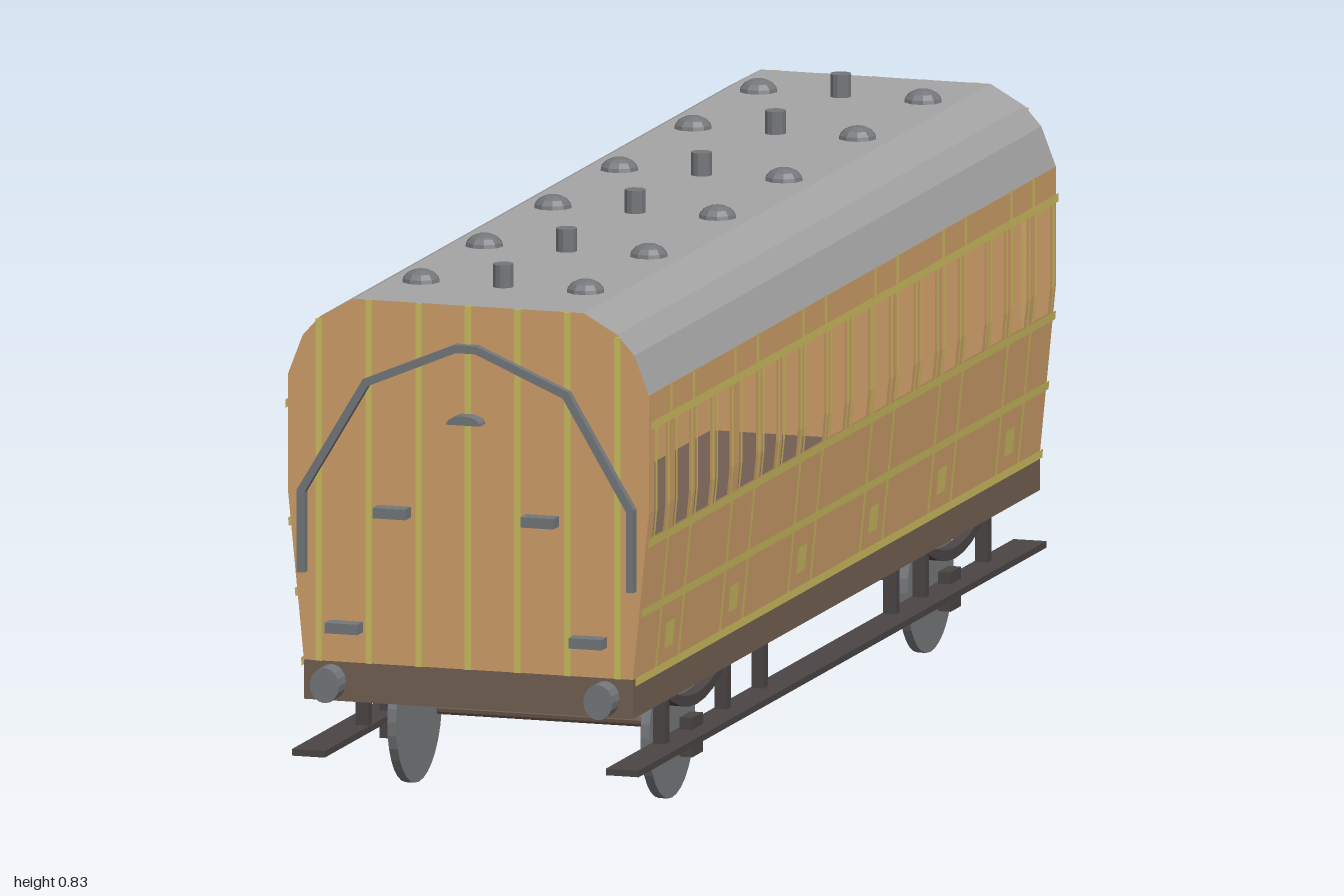
import * as THREE from 'three';
import { mergeGeometries } from 'three/addons/utils/BufferGeometryUtils.js';

const mat = (name, color, both = true) => {
  const m = new THREE.MeshStandardMaterial({ color, flatShading: true });
  m.name = name;
  if (both) m.side = THREE.DoubleSide;
  return m;
};

const L = 0.965; // half length of the body
const KINK = 0.5; // height where the side turns from sloped to upright
const ROOF = [[0.285, 0.68], [0.262, 0.74], [0.235, 0.77], [0.182, 0.8]];
// half width of the body side at height y
const sideX = (y) => 0.26 + 0.025 * THREE.MathUtils.clamp((y - 0.245) / (KINK - 0.245), 0, 1);

// sheet through [x, y] points, drawn out from z0 to z1
function loft(pts, z0, z1) {
  const v = [];
  for (let i = 0; i + 1 < pts.length; i++) {
    const [a, b] = [pts[i], pts[i + 1]];
    v.push(...a, z0, ...b, z0, ...b, z1, ...a, z0, ...b, z1, ...a, z1);
  }
  const g = new THREE.BufferGeometry();
  g.setAttribute('position', new THREE.Float32BufferAttribute(v, 3));
  g.computeVertexNormals();
  return g;
}

// piece of body side following its bend; s is +1 for left, -1 for right
function sidePiece(s, z0, z1, y0, y1, out = 0) {
  const ys = y0 < KINK && y1 > KINK ? [y0, KINK, y1] : [y0, y1];
  const pts = ys.map((y) => [s * (sideX(y) + out), y]);
  return s > 0 ? loft(pts, z1, z0) : loft(pts, z0, z1);
}

const box = (w, h, d, x, y, z) => new THREE.BoxGeometry(w, h, d).translate(x, y, z);

export function createModel() {
  const group = new THREE.Group();
  const wood = mat('varnished wood', 0xcf9f69);
  const trim = mat('yellow trim', 0xcbbb60);
  const roofGrey = mat('roof grey', 0xa4a4a4);
  const metal = mat('metal grey', 0x74777a);
  const brown = mat('frame brown', 0x735f52, false);
  const dark = mat('running gear dark', 0x4b4545);
  const black = mat('window black', 0x0a0a0a);
  const add = (name, geos, material) => {
    const list = [].concat(geos).map((g) => (g.index ? g.toNonIndexed() : g));
    const m = new THREE.Mesh(mergeGeometries(list), material);
    m.name = name;
    group.add(m);
    return m;
  };

  // windows as [centre z, width], front to back
  const windows = [
    [0.912, 0.05], [0.808, 0.066], [0.709, 0.07], [0.616, 0.066], [0.495, 0.078], [0.396, 0.066],
    [0.295, 0.075], [0.182, 0.096], [0.072, 0.07], [-0.035, 0.08], [-0.134, 0.075], [-0.249, 0.08],
    [-0.356, 0.07], [-0.463, 0.07], [-0.578, 0.096], [-0.685, 0.066], [-0.787, 0.075], [-0.9, 0.075],
  ];
  const doors = [0.816, 0.513, 0.19, -0.15, -0.474, -0.795];
  const W0 = 0.46, W1 = 0.627, T = 0.013, OUT = 0.004;

  for (const s of [1, -1]) {
    const tag = s > 0 ? 'left' : 'right';
    // panels below and above the windows, and pillars between them
    const wall = [sidePiece(s, -L, L, 0.245, W0), sidePiece(s, -L, L, W1, 0.68)];
    const lines = [];
    let from = L;
    for (const [c, w] of [...windows, [-L, 0]]) {
      wall.push(sidePiece(s, c + w / 2, from, W0, W1));
      from = c - w / 2;
      if (!w) continue;
      for (const e of [-1, 1]) {
        const z = c + e * (w / 2 + 0.004);
        lines.push(sidePiece(s, z - 0.004, z + 0.004, W0, W1, OUT));
      }
    }
    add(tag + 'Side', wall, wood);

    // long rails, door edges and door squares
    for (const y of [0.235, 0.34, 0.447, W1]) lines.push(sidePiece(s, -L, L, y, y + T, OUT));
    for (const z of doors) {
      for (const e of [-0.053, 0.053]) {
        lines.push(sidePiece(s, z + e - 0.005, z + e + 0.005, 0.245, 0.45, OUT));
        lines.push(sidePiece(s, z + e - 0.005, z + e + 0.005, 0.635, 0.685, OUT));
      }
      lines.push(sidePiece(s, z - 0.02, z + 0.02, 0.27, 0.31, OUT));
    }
    add(tag + 'SideTrim', lines, trim);
  }

  // dark panes on one side, open windows on the other
  add('rightWindowPanes', windows.map(([c, w]) => sidePiece(-1, c - w / 2, c + w / 2, W0, W1, -0.001)), black);

  // roof shell
  const mirrored = ROOF.map(([x, y]) => [-x, y]).reverse();
  add('roof', loft([...ROOF, ...mirrored], L, -L), roofGrey);

  // roof ventilators and lamp tops
  for (const z of [0.8, 0.5, 0.175, -0.14, -0.49, -0.8]) {
    add('lampTop', new THREE.CylinderGeometry(0.016, 0.016, 0.05, 12).translate(0, 0.81, z), metal);
    for (const x of [-0.13, 0.13]) {
      add('roofVent', new THREE.SphereGeometry(0.03, 10, 8).scale(1, 0.75, 1).translate(x, 0.797, z), metal);
    }
  }

  // ends
  const outline = [[0.26, 0.245], [0.285, KINK], ...ROOF, ...mirrored, [-0.285, KINK], [-0.26, 0.245]];
  const endShape = new THREE.Shape(outline.map(([x, y]) => new THREE.Vector2(x, y)));
  const railPath = [[0.26, 0.383], [0.26, 0.505], [0.158, 0.676], [0.016, 0.736],
    [-0.016, 0.736], [-0.158, 0.676], [-0.26, 0.505], [-0.26, 0.383]];
  const stripes = [[0, 0.8], [0.078, 0.8], [0.157, 0.8], [0.236, 0.767]];
  for (const f of [1, -1]) {
    const end = new THREE.Group();
    end.name = f > 0 ? 'frontEnd' : 'backEnd';
    if (f < 0) end.rotation.y = Math.PI;
    const put = (name, geos, material) => end.add(add(name, geos, material));

    put('endPanel', new THREE.ShapeGeometry(endShape).translate(0, 0, L), wood);
    put('endStripes', stripes.flatMap(([x, top]) => (x ? [x, -x] : [0]).map(
      (sx) => box(0.01, top - 0.245, 0.003, sx, (top + 0.245) / 2, L + 0.0015))), trim);
    put('handrail', railPath.slice(1).map(([x1, y1], i) => {
      const [x0, y0] = railPath[i];
      const len = Math.hypot(x1 - x0, y1 - y0);
      return new THREE.BoxGeometry(len + 0.005, 0.012, 0.014)
        .rotateZ(Math.atan2(y1 - y0, x1 - x0))
        .translate((x0 + x1) / 2, (y0 + y1) / 2, L + 0.009);
    }), metal);
    const steps = [];
    for (const s of [1, -1]) {
      steps.push(box(0.052, 0.016, 0.026, s * 0.117, 0.48, L + 0.013));
      steps.push(box(0.052, 0.016, 0.026, s * 0.193, 0.3, L + 0.013));
    }
    put('endSteps', steps, metal);
    // half-round lamp bracket
    put('lampBracket', new THREE.CylinderGeometry(1, 1, 0.026, 12, 1, false, Math.PI / 2, Math.PI)
      .rotateX(Math.PI / 2).scale(0.027, 0.014, 1).translate(0, 0.622, L + 0.013), metal);
    put('buffers', [1, -1].map((s) => new THREE.CylinderGeometry(1, 1, 0.045, 16)
      .rotateX(Math.PI / 2).scale(0.023, 0.027, 1).translate(s * 0.216, 0.214, 0.9775)), metal);
    group.add(end);
  }

  // underframe, also the cabin floor
  add('underframe', box(0.52, 0.06, 2 * L, 0, 0.215, 0), brown);

  // wheels, axles, springs and axle boxes
  for (const z of [0.62, -0.605]) {
    add('axle', new THREE.CylinderGeometry(0.011, 0.011, 0.324, 12).rotateZ(Math.PI / 2).translate(0, 0.116, z), brown);
    for (const s of [1, -1]) {
      add('wheel', new THREE.CylinderGeometry(0.109, 0.109, 0.014, 32)
        .rotateZ(Math.PI / 2).translate(s * 0.2, 0.109, z), metal);
      add('axleBox', box(0.02, 0.06, 0.05, s * 0.237, 0.098, z), dark);
      const arc = new THREE.Shape();
      arc.moveTo(-0.155, 0.188).quadraticCurveTo(0, 0.102, 0.155, 0.188);
      arc.lineTo(0.125, 0.188).quadraticCurveTo(0, 0.136, -0.125, 0.188);
      add('leafSpring', new THREE.ExtrudeGeometry(arc, { depth: 0.018, bevelEnabled: false, curveSegments: 8 })
        .rotateY(Math.PI / 2).translate(s * 0.237 - 0.009, 0, z), dark);
    }
  }

  // footboards and their hangers
  for (const s of [1, -1]) {
    add('footboard', box(0.052, 0.01, 1.933, s * 0.248, 0.105, 0.0135), dark);
    add('footboardHangers', [0.757, 0.465, 0.29, -0.335, -0.475, -0.77].map(
      (z) => box(0.02, 0.085, 0.018, s * 0.235, 0.1475, z)), dark);
  }
  return group;
}
